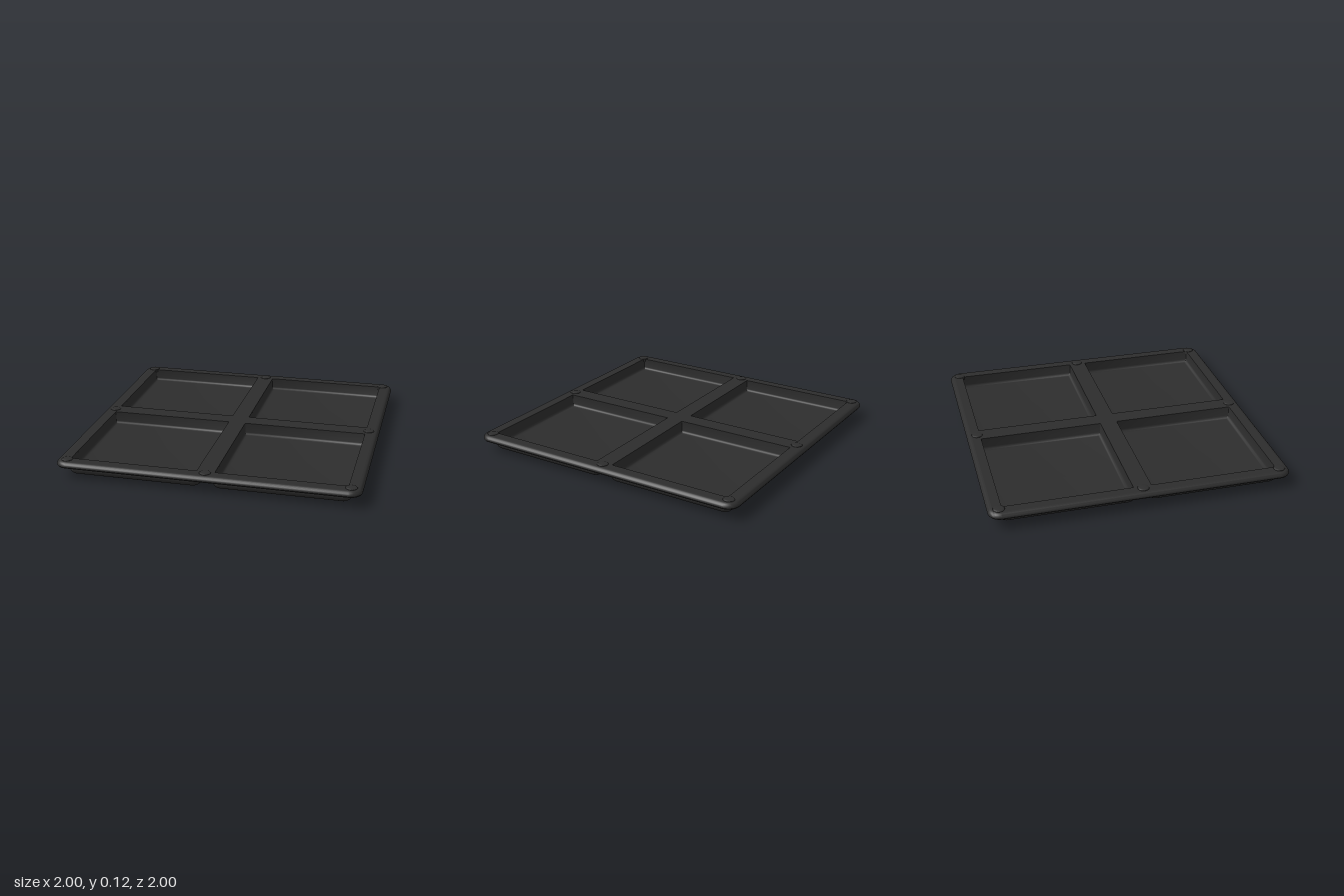
import * as THREE from 'three';
import { toCreasedNormals } from 'three/addons/utils/BufferGeometryUtils.js';

const TOP = 0.115, UNDER = 0.073, PAN = 0.485; // rim heights, pan centre offset
const SIDES = [-1, 1];
const CORNER_STEPS = 8;

// Points of a rounded square in plan
function ring(half, r) {
  const pts = [];
  for (let c = 0; c < 4; c++) {
    const cx = (half - r) * (c === 0 || c === 3 ? 1 : -1);
    const cz = (half - r) * (c < 2 ? 1 : -1);
    for (let i = 0; i <= CORNER_STEPS; i++) {
      const a = (c + i / CORNER_STEPS) * Math.PI / 2;
      pts.push(new THREE.Vector2(cx + r * Math.cos(a), cz + r * Math.sin(a)));
    }
  }
  return pts;
}

// Skin through rounded squares given as [half, cornerRadius, y]
function loft(sections) {
  const pos = [], index = [], n = 4 * (CORNER_STEPS + 1);
  sections.forEach(([half, r, y], s) => {
    ring(half, r).forEach((p, i) => {
      pos.push(p.x, y, p.y);
      if (s === sections.length - 1) return;
      const a = s * n + i, b = s * n + (i + 1) % n;
      index.push(a, b, a + n, b, b + n, a + n);
    });
  });
  const g = new THREE.BufferGeometry();
  g.setAttribute('position', new THREE.Float32BufferAttribute(pos, 3));
  g.setIndex(index);
  return toCreasedNormals(g, 0.7);
}

// Flat rounded square with four openings
function sheet(half, r, holeHalf, holeR, y, facing) {
  const shape = new THREE.Shape(ring(half, r));
  for (const x of SIDES) for (const z of SIDES) {
    const pts = ring(holeHalf, holeR).map(p => new THREE.Vector2(p.x + x * PAN, p.y + z * PAN));
    shape.holes.push(new THREE.Path(pts));
  }
  return new THREE.ShapeGeometry(shape).rotateX(-facing * Math.PI / 2).translate(0, y, 0);
}

export function createModel() {
  const group = new THREE.Group();
  const plastic = new THREE.MeshStandardMaterial({ color: 0x2d2d2d });
  plastic.name = 'black plastic';
  const add = (name, geometry, x = 0, y = 0, z = 0) => {
    const mesh = new THREE.Mesh(geometry, plastic);
    mesh.name = name;
    mesh.position.set(x, y, z);
    group.add(mesh);
  };

  // Rim: rounded edge, top and underside
  const edge = [];
  for (let i = 0; i <= 6; i++) {
    const a = i / 6 * Math.PI / 2, inset = 0.03 * (1 - Math.sin(a));
    edge.push([1 - inset, 0.08 - inset, TOP - 0.03 * (1 - Math.cos(a))]);
  }
  edge.push([0.994, 0.074, UNDER + 0.003], [0.985, 0.065, UNDER]);
  add('rimEdge', loft(edge));
  add('rimTop', sheet(0.97, 0.05, 0.425, 0.004, TOP, 1));
  add('rimUnderside', sheet(0.985, 0.065, 0.45, 0.06, UNDER, -1));

  // Pan outside, with rounded bottom edge
  const outer = [[0.45, 0.06, UNDER]];
  for (let i = 0; i <= 8; i++) {
    const a = i / 8 * Math.PI / 2, inset = 0.05 * (1 - Math.cos(a));
    outer.push([0.45 - inset, 0.06 - inset, 0.05 * (1 - Math.sin(a))]);
  }
  outer.push([0.001, 0.0005, 0]);
  const panOutside = loft(outer);

  // Pan inside: floor, small fillet and upright walls
  const panInside = loft([
    [0.001, 0.0005, 0.025], [0.405, 0.004, 0.025], [0.415, 0.004, 0.028],
    [0.422, 0.004, 0.035], [0.425, 0.004, 0.045], [0.425, 0.004, TOP],
  ]);
  for (const x of SIDES) for (const z of SIDES) {
    add('panOutside', panOutside, x * PAN, 0, z * PAN);
    add('panInside', panInside, x * PAN, 0, z * PAN);
  }

  // Low round studs at the corners and the middle of each side
  const stud = new THREE.LatheGeometry([
    [0.038, -0.02], [0.038, 0], [0.035, 0.004], [0.025, 0.006], [0, 0.007],
  ].map(p => new THREE.Vector2(...p)), 24);
  for (const x of [-1, 0, 1]) for (const z of [-1, 0, 1]) {
    if (x || z) add('stud', stud, x * 0.93, TOP, z * 0.93);
  }
  return group;
}
